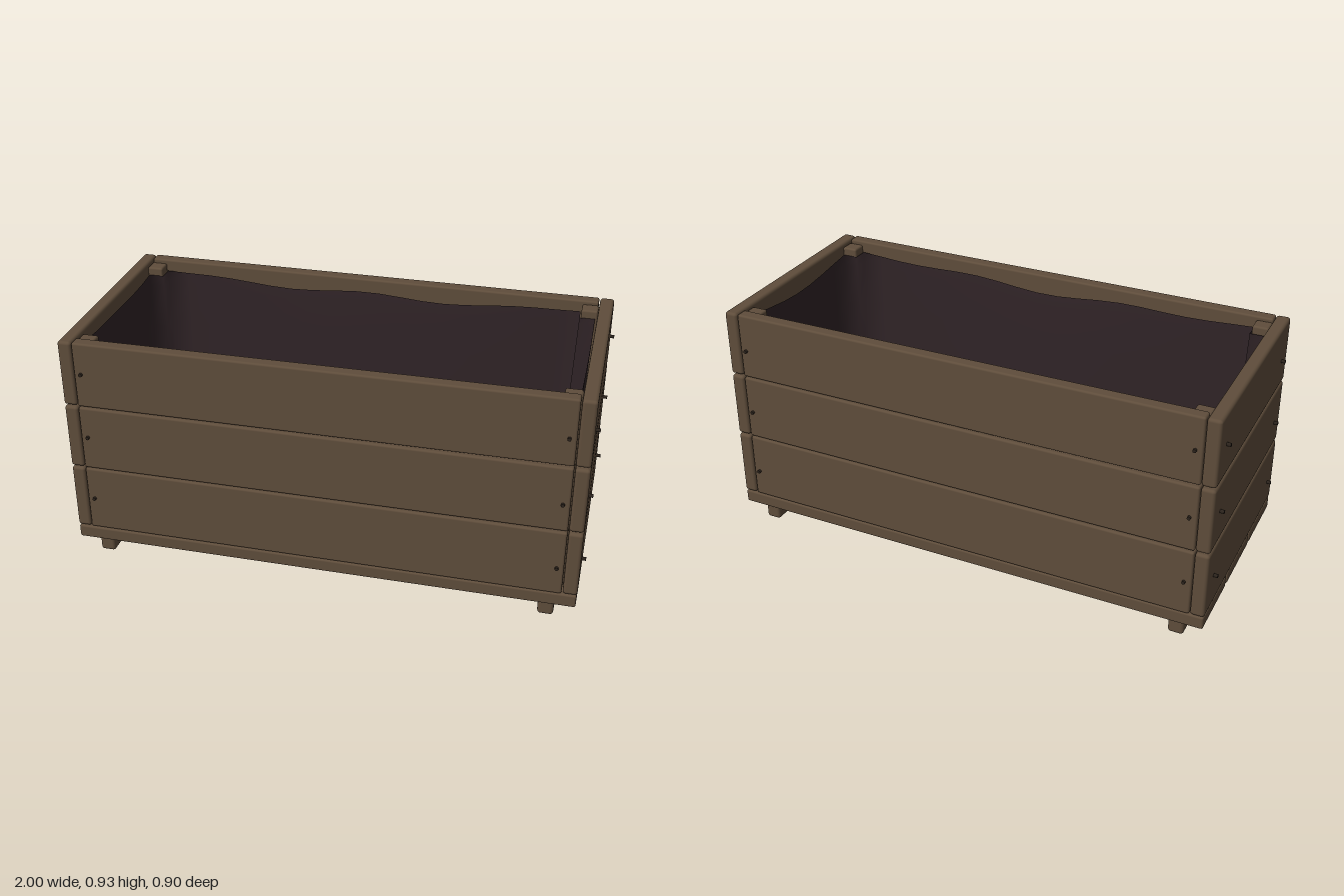
import * as THREE from 'three';
import { RoundedBoxGeometry } from 'three/addons/geometries/RoundedBoxGeometry.js';

export function createModel() {
  const model = new THREE.Group();
  model.name = 'planterBox';

  const material = (name, color, side = THREE.FrontSide) => {
    const m = new THREE.MeshStandardMaterial({ color, side });
    m.name = name;
    return m;
  };
  const wood = material('brown wood', 0x5f4d3b);
  const cloth = material('dark lining', 0x2f2326, THREE.DoubleSide);
  const iron = material('dark nail', 0x2b231c);

  const add = (name, geometry, mat) => {
    const mesh = new THREE.Mesh(geometry, mat);
    mesh.name = name;
    model.add(mesh);
    return mesh;
  };

  // Board with softened edges, given by its min and max corners
  const board = (name, a, b, radius = 0.008) => {
    const s = a.map((v, i) => b[i] - v);
    const mesh = add(name, new RoundedBoxGeometry(s[0], s[1], s[2], 2, radius), wood);
    mesh.position.set((a[0] + b[0]) / 2, (a[1] + b[1]) / 2, (a[2] + b[2]) / 2);
    return mesh;
  };

  // Nail head lying across the given axis
  const nail = (axis, x, y, z) => {
    const g = new THREE.CylinderGeometry(0.007, 0.007, 0.03, 8);
    if (axis === 'x') g.rotateZ(Math.PI / 2);
    else g.rotateX(Math.PI / 2);
    add('nail', g, iron).position.set(x, y, z);
  };

  // Three rows of planks on all four sides, slightly uneven
  const rows = [[0.12, 0.389], [0.395, 0.658], [0.665, 0.929]];
  rows.forEach(([y0, y1], row) => {
    for (const s of [-1, 1]) {
      const long = board('longSidePlank', [-0.928, y0, s * 0.415 - 0.025], [0.926, y1, s * 0.415 + 0.025]);
      long.rotation.z = s * (row - 1) * 0.0015;
      const end = board('endPlank', [s * 0.957 - 0.027, y0, -0.44], [s * 0.957 + 0.027, y1, 0.44], 0.012);
      end.rotation.x = s * (1 - row) * 0.002;
      for (const t of [-1, 1]) {
        const y = y0 + 0.125 - t * 0.012;
        nail('z', t * 0.9, y, s * 0.435);
        nail('x', s * 0.985, y, t * 0.358);
      }
    }
  });

  // Corner posts
  for (const x of [-1, 1]) for (const z of [-1, 1]) {
    board('cornerPost', [x * 0.897 - 0.032, 0.12, z * 0.359 - 0.031], [x * 0.897 + 0.032, 0.915, z * 0.359 + 0.031]);
  }

  // Bottom slats and the two foot rails
  for (const [z0, z1] of [[-0.438, -0.152], [-0.14, 0.145], [0.156, 0.44]]) {
    board('bottomSlat', [-0.982, 0.065, z0], [0.982, 0.118, z1]);
  }
  for (const x of [-0.877, 0.872]) board('footRail', [x - 0.03, 0, -0.42], [x + 0.03, 0.068, 0.42], 0.012);

  // Sagging cloth lining that steps around the posts
  const corners = [
    [0.86, 0.382], [-0.86, 0.382], [-0.86, 0.322], [-0.92, 0.322], [-0.92, -0.322], [-0.86, -0.322],
    [-0.86, -0.382], [0.86, -0.382], [0.86, -0.322], [0.92, -0.322], [0.92, 0.322], [0.86, 0.322],
  ];
  const rim = [];
  corners.forEach((p, i) => {
    const q = corners[(i + 1) % corners.length];
    const n = Math.max(1, Math.round(Math.hypot(q[0] - p[0], q[1] - p[1]) / 0.09));
    for (let k = 0; k < n; k++) {
      const t = k / n;
      rim.push([p[0] + (q[0] - p[0]) * t, p[1] + (q[1] - p[1]) * t, n > 1 ? Math.sin(Math.PI * t) : 0]);
    }
  });
  const depths = [0, 0.06, 0.3, 0.7, 1];
  const ringPoint = ([x, z, sag], d) => [
    x * (1 - 0.025 * d - 0.008 * sag * d),
    0.885 - 0.755 * d - (1 - d) * (0.02 * sag + 0.012 * sag * Math.sin(x * 9 + z * 4)),
    z * (1 - 0.06 * d - 0.06 * sag * Math.sqrt(d)),
  ];
  const positions = [], indices = [];
  const n = rim.length;
  depths.forEach((d, j) => rim.forEach((p, i) => {
    positions.push(...ringPoint(p, d));
    if (j === 0) return;
    const b = j * n + i, c = j * n + (i + 1) % n;
    indices.push(b - n, b, c - n, c - n, b, c);
  }));
  const walls = new THREE.BufferGeometry();
  walls.setAttribute('position', new THREE.Float32BufferAttribute(positions, 3));
  walls.setIndex(indices);
  walls.computeVertexNormals();
  add('liningWalls', walls, cloth);

  const outline = rim.map((p) => ringPoint(p, 1)).map(([x, , z]) => new THREE.Vector2(x, z));
  const floor = new THREE.ShapeGeometry(new THREE.Shape(outline));
  floor.rotateX(Math.PI / 2);
  add('liningFloor', floor, cloth).position.y = 0.13;

  return model;
}
